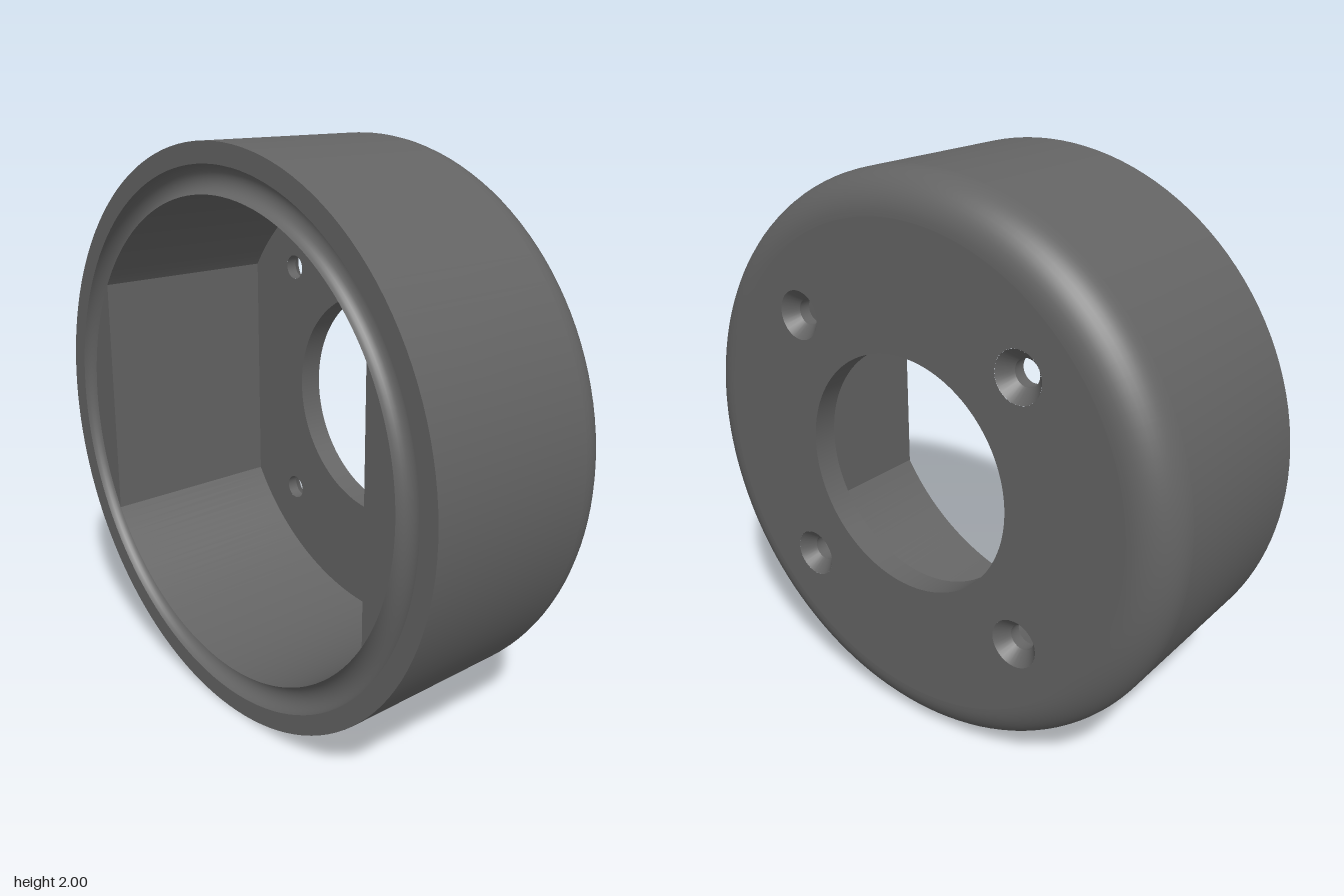
import * as THREE from 'three';

const FRONT = 0.395, BACK = -0.395, FLOOR = -0.305;
const FILLET = 0.14, CAVITY = 0.835, FLAT_X = 0.706;
const GROOVE_OUT = 0.93, BORE = 0.422;
const SCREW = 0.465, SCREW_R = 0.046, SINK_R = 0.087;
const FLAT_ANGLE = Math.acos(FLAT_X / CAVITY);

const material = new THREE.MeshStandardMaterial({ color: 0x636363 });

function add(parent, name, geometry) {
  const mesh = new THREE.Mesh(geometry, material);
  mesh.name = name;
  parent.add(mesh);
  return mesh;
}

// Revolve [radius, z] points about the z axis; z rising faces outward, falling faces inward
function revolve(points, segments = 128, start = 0, length = Math.PI * 2) {
  const profile = points.map(([r, z]) => new THREE.Vector2(r, z));
  return new THREE.LatheGeometry(profile, segments, start, length).rotateX(Math.PI / 2);
}

// Points on a circular arc in the (radius, z) plane
function arc(cr, cz, radius, from, to, steps) {
  return Array.from({ length: steps + 1 }, (_, i) => {
    const t = from + (to - from) * i / steps;
    return [cr + radius * Math.cos(t), cz + radius * Math.sin(t)];
  });
}

// Cut the central bore and the four screw holes out of a shape
function perforate(shape, screwRadius) {
  const cut = (x, y, r) => shape.holes.push(new THREE.Path().absarc(x, y, r, 0, Math.PI * 2, true));
  cut(0, 0, BORE);
  for (const x of [-SCREW, SCREW]) for (const y of [-SCREW, SCREW]) cut(x, y, screwRadius);
  return new THREE.ShapeGeometry(shape, 64);
}

export function createModel() {
  const group = new THREE.Group();
  group.name = 'roundHousing';
  const body = new THREE.Group();
  body.name = 'housingBody';
  body.position.y = 1;
  group.add(body);

  // Outer skin, rounded at the back
  add(body, 'roundedBackEdge', revolve(arc(1 - FILLET, BACK + FILLET, FILLET, -Math.PI / 2, 0, 12)));
  add(body, 'outerWall', revolve([[1, BACK + FILLET], [1, FRONT]]));

  // Front rim with a half-round seal groove
  const grooveR = (GROOVE_OUT - CAVITY) / 2;
  add(body, 'frontRim', revolve([[1, FRONT], [GROOVE_OUT, FRONT]]));
  add(body, 'sealGroove', revolve(arc(CAVITY + grooveR, FRONT, grooveR, 0, -Math.PI, 16)));

  // Back face and cavity floor
  const disc = new THREE.Shape().absarc(0, 0, 1 - FILLET, 0, Math.PI * 2, false);
  add(body, 'backFace', perforate(disc, SINK_R).rotateY(Math.PI)).position.z = BACK;
  const outline = new THREE.Shape()
    .absarc(0, 0, CAVITY, FLAT_ANGLE, Math.PI - FLAT_ANGLE, false)
    .absarc(0, 0, CAVITY, Math.PI + FLAT_ANGLE, Math.PI * 2 - FLAT_ANGLE, false);
  add(body, 'cavityFloor', perforate(outline, SCREW_R)).position.z = FLOOR;

  // Cavity sides: one curved wall and one flat wall, repeated by a half turn
  const depth = FRONT - FLOOR;
  const curveHalf = Math.PI / 2 - FLAT_ANGLE;
  for (const [name, turn] of [['left', 0], ['right', Math.PI]]) {
    const half = new THREE.Group();
    half.name = name + 'CavityHalf';
    half.rotation.z = turn;
    body.add(half);
    add(half, 'curvedCavityWall',
      revolve([[CAVITY, FRONT], [CAVITY, FLOOR]], 64, Math.PI - curveHalf, curveHalf * 2));
    const flat = new THREE.PlaneGeometry(depth, 2 * CAVITY * Math.sin(FLAT_ANGLE)).rotateY(-Math.PI / 2);
    add(half, 'flatCavityWall', flat).position.set(FLAT_X, 0, (FRONT + FLOOR) / 2);
    const segment = new THREE.Shape().absarc(0, 0, CAVITY, -FLAT_ANGLE, FLAT_ANGLE, false);
    add(half, 'flatWallLand', new THREE.ShapeGeometry(segment, 32)).position.z = FRONT;
  }

  // Central bore and countersunk screw holes
  add(body, 'centralBore', revolve([[BORE, FLOOR], [BORE, BACK]]));
  const sinkTop = BACK + 0.048;
  for (const x of [-SCREW, SCREW]) for (const y of [-SCREW, SCREW]) {
    const hole = new THREE.Group();
    hole.name = 'screwHole';
    hole.position.set(x, y, 0);
    add(hole, 'screwShaft', revolve([[SCREW_R, FLOOR], [SCREW_R, sinkTop]], 32));
    add(hole, 'countersink', revolve([[SCREW_R, sinkTop], [SINK_R, BACK]], 32));
    body.add(hole);
  }
  return group;
}
